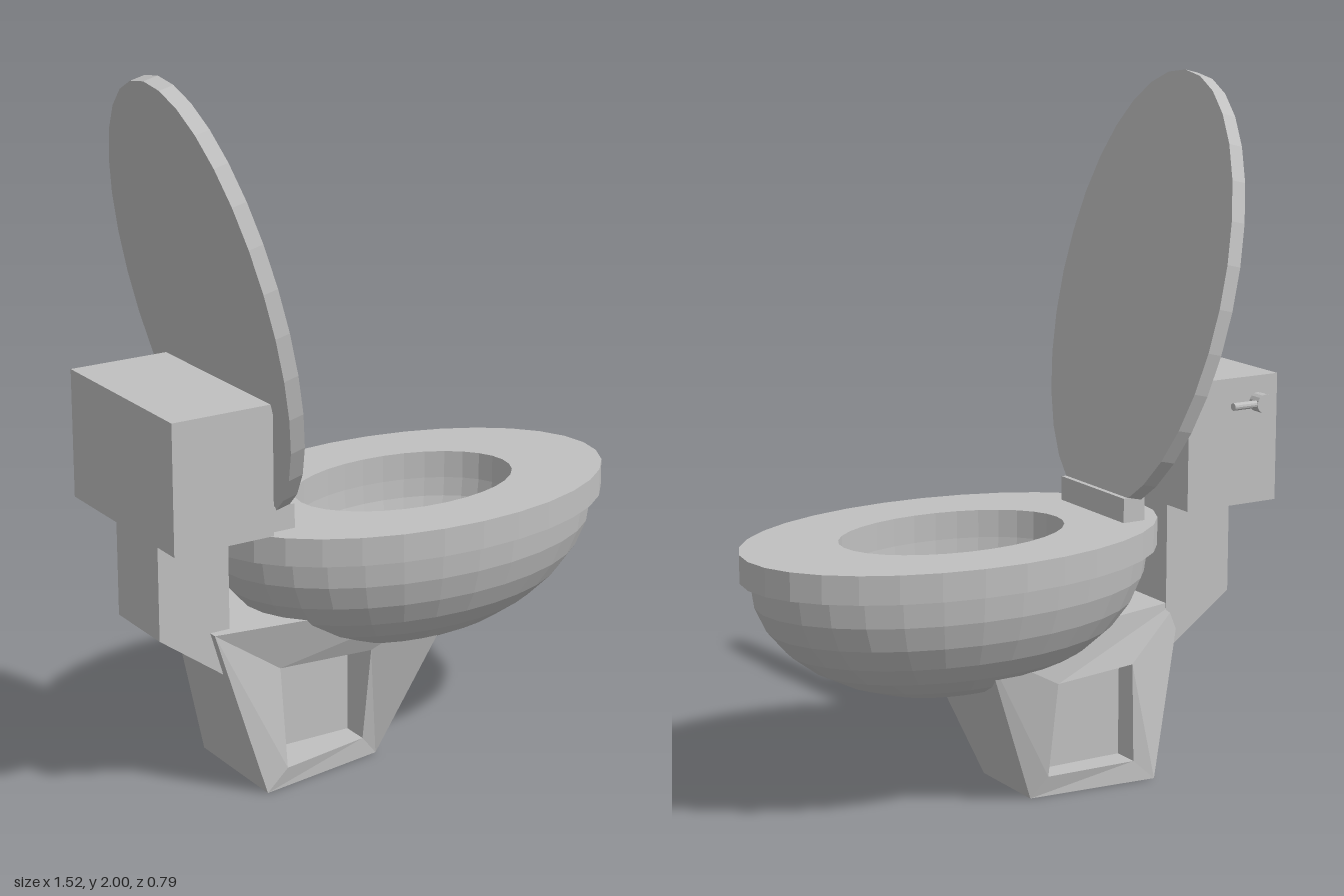
import * as THREE from 'three';

const porcelain = new THREE.MeshStandardMaterial({ color: 0xc0c0c0, flatShading: true });
porcelain.name = 'porcelain grey';

const SEGMENTS = 32;
const BOWL_X = 0.13;

function add(group, name, geometry, x = 0, y = 0, z = 0) {
  const mesh = new THREE.Mesh(geometry, porcelain);
  mesh.name = name;
  mesh.position.set(x, y, z);
  group.add(mesh);
  return mesh;
}

function ellipse(rx, ry) {
  return Array.from({ length: SEGMENTS }, (_, i) => {
    const a = (i / SEGMENTS) * Math.PI * 2;
    return new THREE.Vector2(rx * Math.cos(a), ry * Math.sin(a));
  });
}

const lowerHalf = (rx, ry, rz, rows) =>
  new THREE.SphereGeometry(1, SEGMENTS, rows, 0, Math.PI * 2, Math.PI / 2, Math.PI / 2).scale(rx, ry, rz);

// Tapered pedestal with a recessed panel on each side
function pedestalGeometry() {
  const positions = [];
  const quad = (a, b, c, d) => positions.push(...a, ...b, ...c, ...a, ...c, ...d);

  // corners run bottom rear, bottom front, top front, top rear
  const side = (outer, inner, depth, flip) => {
    const face = (a, b, c, d) => (flip ? quad(d, c, b, a) : quad(a, b, c, d));
    const back = inner.map(([x, y]) => [x, y, depth]);
    for (let i = 0; i < 4; i++) {
      const j = (i + 1) % 4;
      face(outer[i], outer[j], inner[j], inner[i]);
      face(inner[i], inner[j], back[j], back[i]);
    }
    face(...back);
  };
  const panel = (zs) => [[-0.36, 0.06], [-0.08, 0.06], [-0.08, 0.345], [-0.36, 0.345]].map((p, i) => [...p, zs[i]]);

  const p = [[-0.425, 0, 0.165], [-0.03, 0, 0.1], [0.155, 0.49, 0.24], [-0.57, 0.49, 0.14]];
  const n = [[-0.425, 0, -0.19], [-0.03, 0, -0.155], [0.18, 0.49, -0.27], [-0.57, 0.49, -0.1]];
  side(p, panel([0.165, 0.11, 0.155, 0.13]), 0.03, false);
  side(n, panel([-0.18, -0.17, -0.22, -0.17]), -0.1, true);
  quad(p[1], n[1], n[2], p[2]);
  quad(n[0], p[0], p[3], n[3]);
  quad(p[3], p[2], n[2], n[3]);
  quad(n[0], n[1], p[1], p[0]);

  const geometry = new THREE.BufferGeometry();
  geometry.setAttribute('position', new THREE.Float32BufferAttribute(positions, 3));
  geometry.computeVertexNormals();
  return geometry;
}

export function createModel() {
  const model = new THREE.Group();
  model.name = 'toilet';

  add(model, 'pedestal', pedestalGeometry());

  // Outer bowl, and the basin with its faces turned inward
  add(model, 'bowl', lowerHalf(0.6, 0.375, 0.38, 8), BOWL_X, 0.68);
  const basin = lowerHalf(0.34, 0.28, 0.215, 8);
  const order = basin.index.array;
  for (let i = 0; i < order.length; i += 3) [order[i], order[i + 1]] = [order[i + 1], order[i]];
  basin.computeVertexNormals();
  add(model, 'basin', basin, BOWL_X, 0.68);

  // Oval seat ring
  const ring = new THREE.Shape(ellipse(0.63, 0.395));
  ring.holes.push(new THREE.Path(ellipse(0.34, 0.215)));
  const seat = new THREE.ExtrudeGeometry(ring, { depth: 0.08, bevelEnabled: false }).rotateX(-Math.PI / 2);
  add(model, 'seat', seat, BOWL_X, 0.68);

  // Raised lid and its hinge
  const lid = new THREE.CylinderGeometry(1, 1, 0.044, SEGMENTS).scale(0.63, 1, 0.395);
  add(model, 'lid', lid, -0.502, 1.382).rotation.z = THREE.MathUtils.degToRad(103.7);
  add(model, 'hinge', new THREE.BoxGeometry(0.07, 0.07, 0.325), -0.365, 0.795);

  // Water tank on a neck that slopes into the pedestal
  add(model, 'tank', new THREE.BoxGeometry(0.3, 0.365, 0.56), -0.615, 0.9825);
  const profile = [[-0.725, 0.8], [-0.725, 0.5], [-0.51, 0.345], [-0.51, 0.8]];
  const neck = new THREE.Shape(profile.map(([x, y]) => new THREE.Vector2(x, y)));
  add(model, 'neck', new THREE.ExtrudeGeometry(neck, { depth: 0.23, bevelEnabled: false }), 0, 0, -0.115);

  // Flush handle
  const knob = new THREE.CylinderGeometry(0.027, 0.027, 0.04, 16).rotateX(Math.PI / 2);
  add(model, 'handleKnob', knob, -0.697, 1.09, -0.3);
  const lever = new THREE.CylinderGeometry(0.011, 0.011, 0.1, 12).rotateZ(Math.PI / 2);
  add(model, 'handleLever', lever, -0.645, 1.09, -0.308);

  return model;
}
